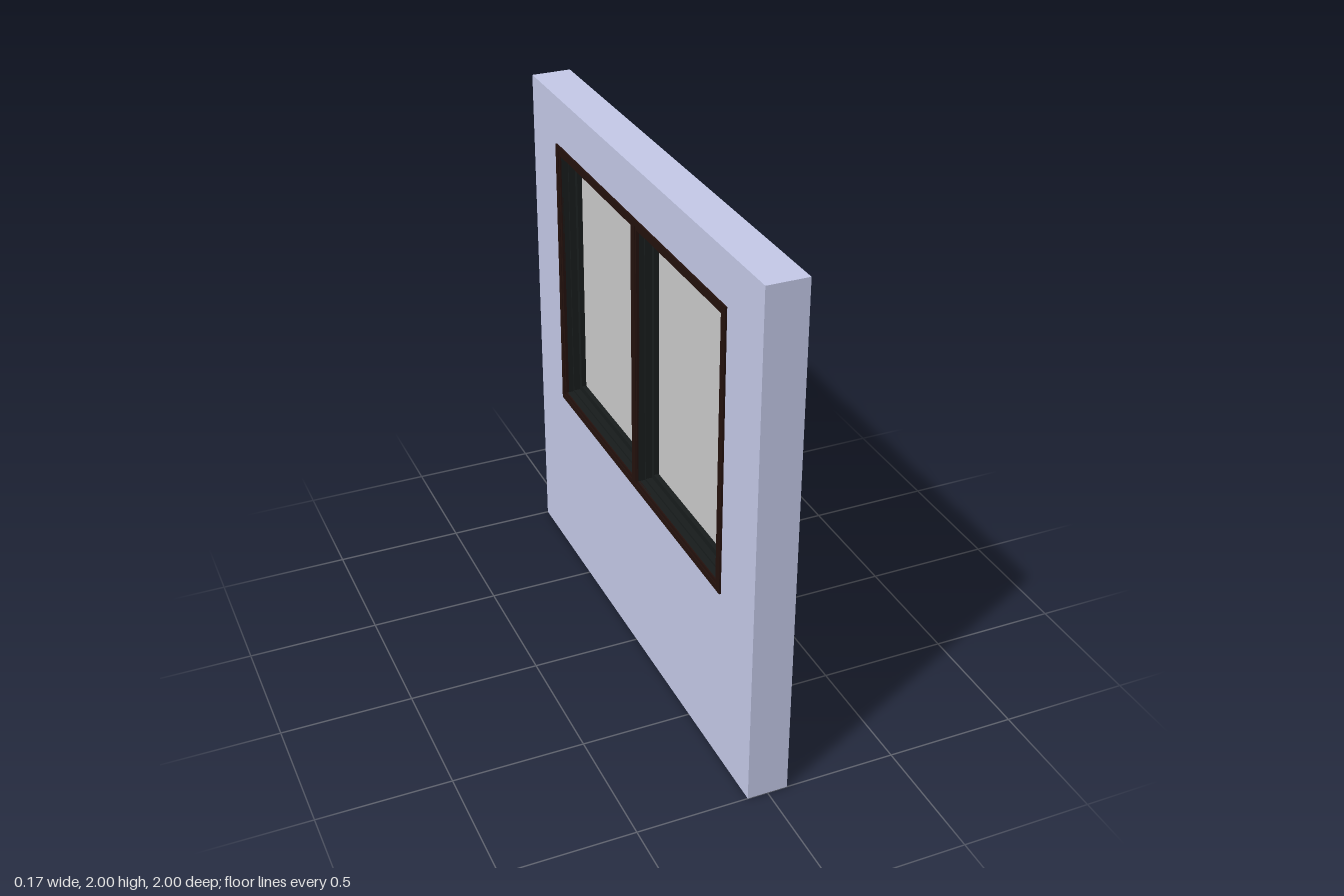
import * as THREE from 'three';

const mat = (color) => new THREE.MeshStandardMaterial({ color });
const wallMat = mat(0xc5cae9), trimMat = mat(0x24110d), darkMat = mat(0x181c1c), glassMat = mat(0xcccccc);

// Rectangle given by its edges along the wall (a) and in height (b)
function rect(Type, [a0, a1, b0, b1]) {
  const p = new Type();
  p.moveTo(a0, b0);
  p.lineTo(a1, b0);
  p.lineTo(a1, b1);
  p.lineTo(a0, b1);
  p.closePath();
  return p;
}

// Upright panel with rectangular openings, spanning x0 to x1 in thickness
function panel(name, outer, holes, x0, x1, material) {
  const shape = rect(THREE.Shape, outer);
  holes.forEach((h) => shape.holes.push(rect(THREE.Path, h)));
  const geo = new THREE.ExtrudeGeometry(shape, { depth: x1 - x0, bevelEnabled: false });
  geo.translate(0, 0, x0);
  geo.rotateY(Math.PI / 2);
  const mesh = new THREE.Mesh(geo, material);
  mesh.name = name;
  return mesh;
}

function box(name, w, h, d, x, y, z, material) {
  const mesh = new THREE.Mesh(new THREE.BoxGeometry(w, h, d), material);
  mesh.position.set(x, y, z);
  mesh.name = name;
  return mesh;
}

export function createModel() {
  const model = new THREE.Group();
  model.name = 'windowWall';
  const inset = (r, t) => [r[0] + t, r[1] - t, r[2] + t, r[3] - t];
  const outer = [-0.747, 0.747, 0.715, 1.813];
  const opening = inset(outer, 0.015);

  // Wall with its window opening
  model.add(panel('wall', [-1, 1, 0, 2], [opening], -0.077, 0.077, wallMat));

  // Two light openings either side of the mullion
  const lights = [[-0.71, -0.025, 0.752, 1.776], [0.025, 0.71, 0.752, 1.776]];

  // Dark liner through the wall thickness, stepped towards the middle
  model.add(panel('frameLiner', opening, lights, -0.076, 0.076, darkMat));
  const stops = lights.map((l) => inset(l, 0.008));
  model.add(panel('frameStop', inset(opening, 0.005), stops, -0.05, 0.05, darkMat));

  // Brown casing on both faces, with a raised outer lip
  for (const s of [-1, 1]) {
    const span = (a, b) => [Math.min(s * a, s * b), Math.max(s * a, s * b)];
    model.add(panel('casing', outer, lights, ...span(0.07, 0.081), trimMat));
    model.add(panel('casingLip', outer, [inset(outer, 0.024)], ...span(0.08, 0.084), trimMat));
    model.add(box('mullionCap', 0.004, 1.05, 0.034, s * 0.082, 1.264, 0, trimMat));
  }

  // Sashes, glass and handles, mirrored about the mullion
  for (const s of [-1, 1]) {
    const sash = new THREE.Group();
    sash.name = s > 0 ? 'frontSash' : 'backSash';
    const light = s > 0 ? lights[0] : lights[1];
    const pane = s > 0 ? [-0.68, -0.053, 0.783, 1.746] : [0.053, 0.68, 0.783, 1.746];
    sash.add(panel('sashFrame', light, [pane], -0.025, 0.025, darkMat));
    sash.add(box('glass', 0.012, 0.97, 0.635, 0, 1.2645, s * 0.3665, glassMat));
    sash.add(box('handlePlate', 0.012, 0.066, 0.03, 0.03, 1.253, s * 0.048, darkMat));
    sash.add(box('handleGrip', 0.03, 0.056, 0.014, 0.023, 1.253, s * 0.058, darkMat));
    model.add(sash);
  }
  return model;
}
